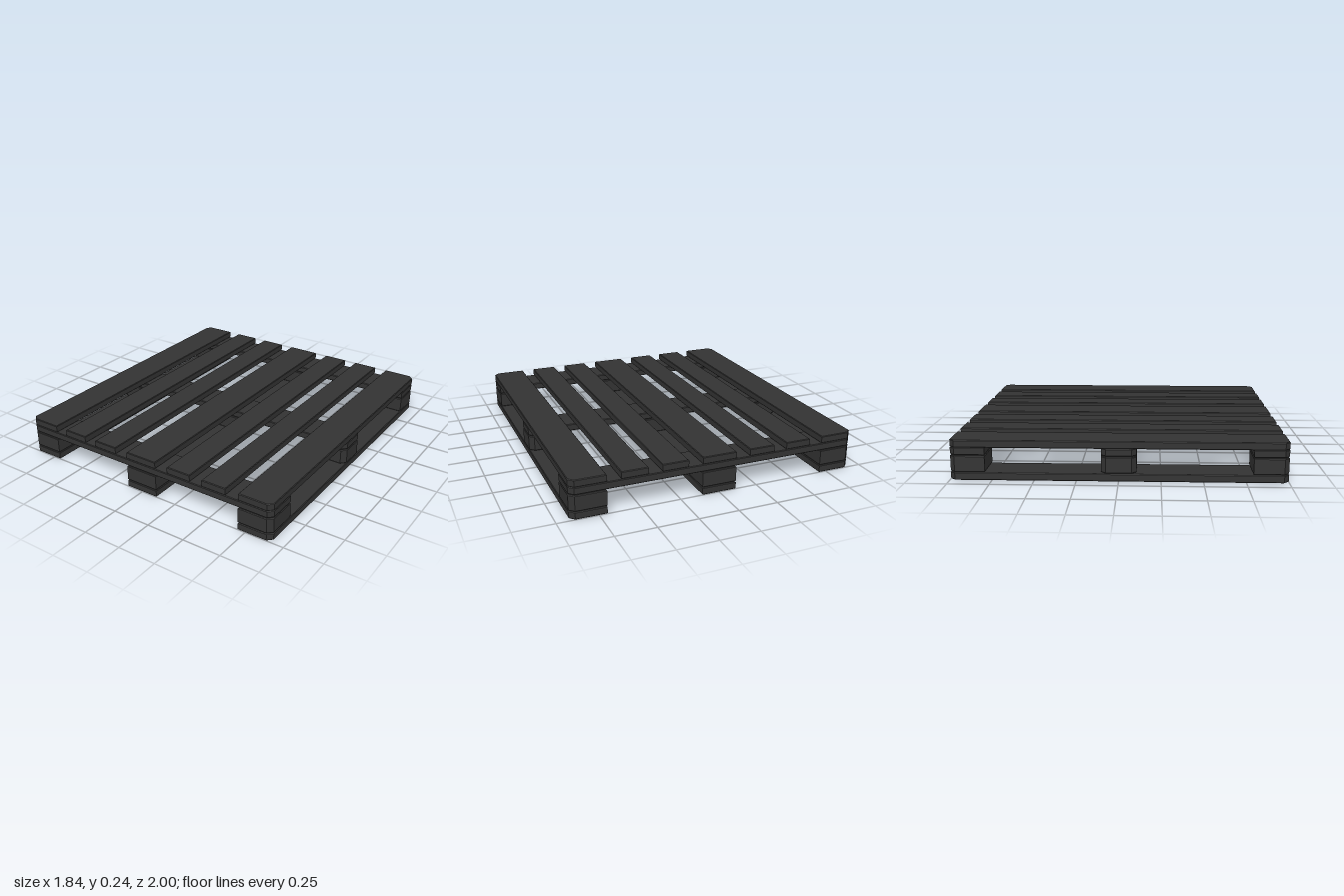
import * as THREE from 'three';

const BEVEL = 0.004;
const CHAMFER = 0.03;

export function createModel() {
  const pallet = new THREE.Group();
  pallet.name = 'pallet';
  const material = new THREE.MeshStandardMaterial({ color: 0x333333, flatShading: true });

  // Board or block with eased edges; cut(sx, sz) tells which vertical corners are chamfered
  function plank(name, [x0, x1], [y0, y1], [z0, z1], cut = () => false) {
    const points = [];
    for (const [sx, sz] of [[1, 1], [-1, 1], [-1, -1], [1, -1]]) {
      const x = sx > 0 ? x1 : x0, z = sz > 0 ? z1 : z0;
      if (!cut(sx, sz)) {
        points.push(new THREE.Vector2(x, -z));
        continue;
      }
      const pair = [
        new THREE.Vector2(x, -z + sz * CHAMFER),
        new THREE.Vector2(x - sx * CHAMFER, -z),
      ];
      points.push(...(sx * sz > 0 ? pair : pair.reverse()));
    }
    const geometry = new THREE.ExtrudeGeometry(new THREE.Shape(points), {
      depth: y1 - y0 - 2 * BEVEL,
      bevelThickness: BEVEL, bevelSize: BEVEL, bevelOffset: -BEVEL, bevelSegments: 1,
    });
    geometry.rotateX(-Math.PI / 2).translate(0, y0 + BEVEL, 0);
    const mesh = new THREE.Mesh(geometry, material);
    mesh.name = name;
    pallet.add(mesh);
  }

  const columns = [[-0.92, -0.70], [-0.11, 0.11], [0.70, 0.92]];
  const rows = [[-1, -0.79], [-0.105, 0.105], [0.79, 1]];
  const narrow = [[-0.615, -0.45], [-0.365, -0.20], [0.20, 0.365], [0.45, 0.615]];
  const length = [-1, 1];

  columns.forEach((xs, i) => {
    const side = i - 1;
    const outer = (sx) => sx === side;
    // Wide deck boards and bottom runners
    plank('wideDeckBoard', xs, [0.198, 0.243], length, outer);
    plank('bottomRunner', xs, [0, 0.046], length, outer);
    // Spacer blocks, chamfered on the corners that face outwards
    rows.forEach((zs, j) => {
      const end = j - 1;
      plank('spacerBlock', xs, [0.049, 0.147], zs,
        (sx, sz) => sx === side && (end === 0 || sz === end));
    });
  });

  // Narrow deck boards
  narrow.forEach((xs) => plank('narrowDeckBoard', xs, [0.198, 0.243], length));

  // Cross boards under the deck
  rows.forEach((zs, j) => {
    const end = j - 1;
    plank('crossBoard', [-0.92, 0.92], [0.152, 0.197], zs,
      (sx, sz) => end === 0 || sz === end);
  });

  return pallet;
}
